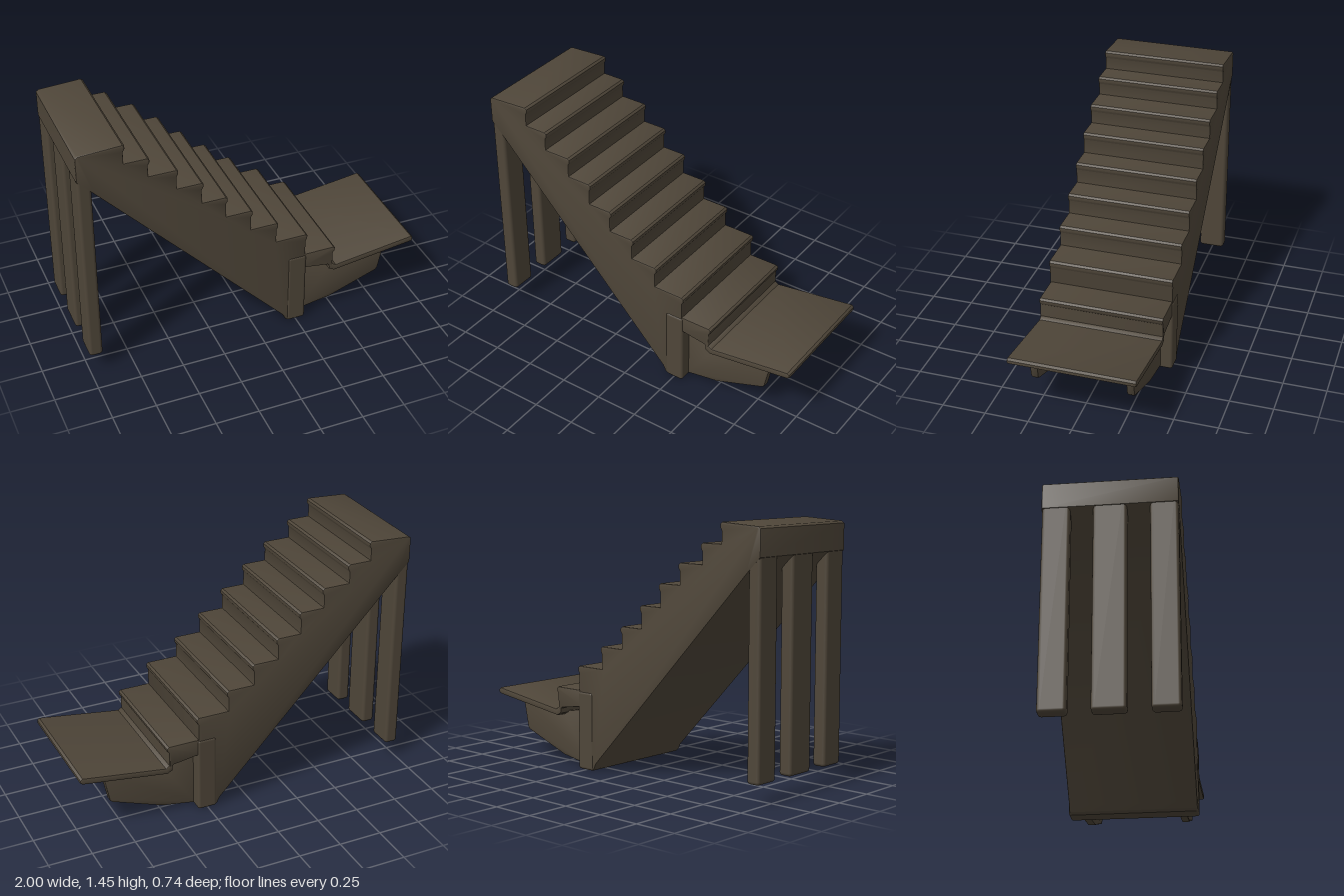
import * as THREE from 'three';
import { toCreasedNormals } from 'three/addons/utils/BufferGeometryUtils.js';
import { RoundedBoxGeometry } from 'three/addons/geometries/RoundedBoxGeometry.js';

export function createModel() {
  const group = new THREE.Group();
  const wood = new THREE.MeshStandardMaterial({ color: 0x4f4639 });
  wood.name = 'darkWood';

  const add = (name, geometry, x = 0, y = 0, z = 0) => {
    const mesh = new THREE.Mesh(geometry, wood);
    mesh.name = name;
    mesh.position.set(x, y, z);
    group.add(mesh);
    return mesh;
  };

  // Side outline (x, y) extruded across z, with softened edges
  const slab = (name, points, width, z = 0, bevel = 0.01) => {
    const shape = new THREE.Shape(points.map(([x, y]) => new THREE.Vector2(x, y)));
    const geometry = new THREE.ExtrudeGeometry(shape, {
      depth: width - 2 * bevel, bevelEnabled: true, bevelThickness: bevel,
      bevelSize: bevel, bevelOffset: -bevel, bevelSegments: 2,
    });
    geometry.translate(0, 0, -width / 2 + bevel);
    return add(name, toCreasedNormals(geometry, 0.6), 0, 0, z);
  };

  // Staircase body: every tread is [front edge x, top y]
  const treads = [
    [-0.735, 1.45], [-0.605, 1.337], [-0.45, 1.225], [-0.31, 1.107],
    [-0.172, 0.978], [-0.025, 0.85], [0.13, 0.723], [0.312, 0.595],
  ];
  const outline = [[-1, 1.28], [-1, 1.425], [-0.985, 1.436]];
  treads.forEach(([x, y], i) => {
    const next = i < treads.length - 1 ? treads[i + 1][1] : 0.02;
    outline.push([x - 0.012, y], [x, y - 0.01], [x, y - 0.028], [x - 0.01, y - 0.045], [x - 0.01, next]);
  });
  outline.push([0.292, 0], [0.205, 0], [0.188, 0.012], [0.172, 0.045], [-0.92, 1.2]);
  slab('staircase', outline, 0.725, 0, 0.008);

  // Post at the foot of the stairs
  add('footPost', new RoundedBoxGeometry(0.112, 0.45, 0.735, 2, 0.015), 0.252, 0.225);

  // Lowest step, overhanging the foot post
  slab('lowestStep', [
    [0.28, 0.455], [0.48, 0.455], [0.492, 0.445], [0.49, 0.428],
    [0.48, 0.415], [0.478, 0.31], [0.45, 0.335], [0.28, 0.36],
  ], 0.72, 0, 0.008);

  // Tilted landing board
  slab('landingBoard', [
    [0.455, 0.34], [0.46, 0.3], [0.49, 0.284], [0.985, 0.352],
    [0.998, 0.362], [0.998, 0.38], [0.985, 0.39], [0.5, 0.322], [0.48, 0.335],
  ], 0.72, 0, 0.008);

  // Side brackets under the landing
  for (const side of [1, -1]) {
    slab('landingBracket', [
      [0.29, 0.005], [0.5, 0.04], [0.65, 0.095], [0.8, 0.15],
      [0.812, 0.165], [0.84, 0.3], [0.835, 0.348], [0.5, 0.3], [0.29, 0.34],
    ], 0.045, side * 0.275, 0.008);
  }

  // Sloping sheet between the brackets
  slab('landingUnderside', [[0.29, 0.14], [0.83, 0.29], [0.83, 0.33], [0.29, 0.18]], 0.56, 0, 0.005);

  // Three back legs: [centre z, width]
  for (const [z, width] of [[-0.285, 0.15], [0, 0.18], [0.285, 0.15]]) {
    add('backLeg', new RoundedBoxGeometry(0.078, 1.25, width, 2, 0.018), -0.959, 0.735, z);
  }

  return group;
}
